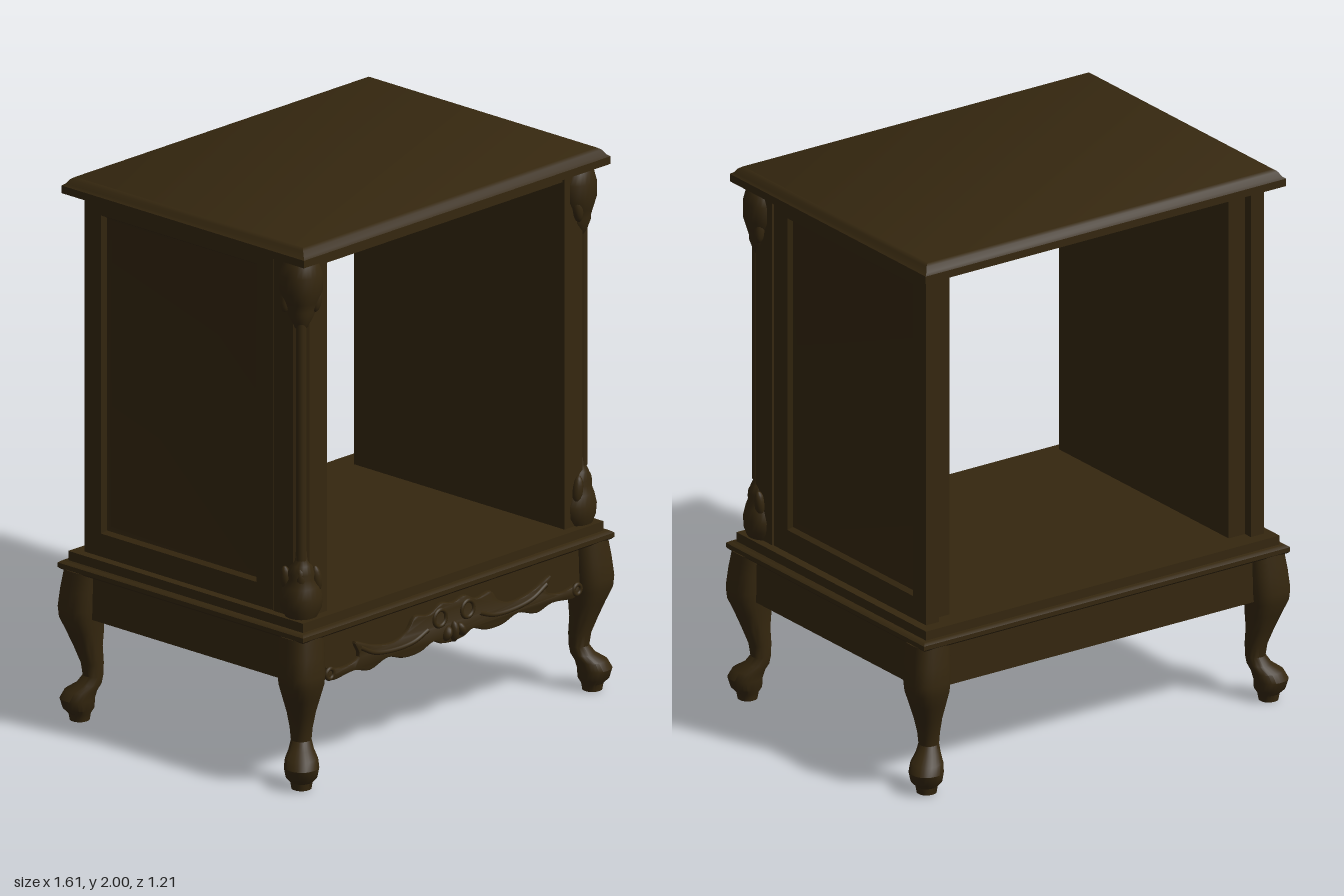
import * as THREE from 'three';
import { toCreasedNormals } from 'three/addons/utils/BufferGeometryUtils.js';

// Skin a list of equal-length rings of [x, y, z] points and cap both ends.
function loft(rings, flip = false) {
  const n = rings[0].length, last = (rings.length - 1) * n, index = [];
  const tri = (a, b, c) => (flip ? index.push(a, c, b) : index.push(a, b, c));
  for (let i = 0; i < rings.length - 1; i++) {
    for (let j = 0; j < n; j++) {
      const a = i * n + j, b = i * n + (j + 1) % n;
      tri(a, b, b + n);
      tri(a, b + n, a + n);
    }
  }
  for (let j = 1; j < n - 1; j++) {
    tri(0, j + 1, j);
    tri(last, last + j, last + j + 1);
  }
  const g = new THREE.BufferGeometry();
  g.setAttribute('position', new THREE.Float32BufferAttribute(rings.flat(2), 3));
  g.setIndex(index);
  return toCreasedNormals(g, 0.6);
}

// Horizontal rectangle ring, used for mouldings
const slab = (y, x, z) => [[-x, y, z], [x, y, z], [x, y, -z], [-x, y, -z]];

// Rounded-square ring around (cx, cz)
function roundedRing(y, cx, cz, r, power = 0.8, n = 24) {
  const p = (v) => Math.sign(v) * Math.pow(Math.abs(v), power) * r;
  return Array.from({ length: n }, (_, i) => {
    const t = (i / n) * Math.PI * 2;
    return [cx + p(Math.sin(t)), y, cz + p(Math.cos(t))];
  });
}

// Symmetric shape from half outlines running outward from x = 0
function mirroredShape(top, bottom) {
  const v = (s) => ([x, y]) => new THREE.Vector2(s * x, y);
  const curve = (half) => new THREE.SplineCurve(
    [...half.slice(1).reverse().map(v(-1)), ...half.map(v(1))]).getPoints(72);
  return new THREE.Shape([...curve(bottom), ...curve(top).reverse()]);
}

export function createModel() {
  const model = new THREE.Group();
  const wood = new THREE.MeshStandardMaterial({ color: 0x35270f });
  wood.name = 'dark walnut';

  function add(name, geometry, x = 0, y = 0, z = 0) {
    const mesh = new THREE.Mesh(geometry, wood);
    mesh.name = name;
    mesh.position.set(x, y, z);
    model.add(mesh);
    return mesh;
  }
  const box = (name, x0, x1, y0, y1, z0, z1) => add(name,
    new THREE.BoxGeometry(Math.abs(x1 - x0), y1 - y0, z1 - z0), (x0 + x1) / 2, (y0 + y1) / 2, (z0 + z1) / 2);

  // Moulded top and stepped base
  add('top', loft([slab(1.94, 0.775, 0.585), slab(1.968, 0.775, 0.585), slab(1.975, 0.765, 0.575),
    slab(1.992, 0.755, 0.562), slab(2, 0.742, 0.55)]));
  add('baseMoulding', loft([slab(0.555, 0.78, 0.585), slab(0.562, 0.787, 0.592), slab(0.578, 0.787, 0.592),
    slab(0.586, 0.775, 0.58)]));
  add('baseShelf', loft([slab(0.584, 0.76, 0.566), slab(0.62, 0.76, 0.566)]));
  box('frontRail', -0.61, 0.61, 1.9, 1.94, 0.47, 0.52);

  // Side walls with a bevelled recessed panel, and chamfered front posts
  for (const s of [1, -1]) {
    const rect = (x, y0, y1, z0, z1) => [[s * x, y0, z0], [s * x, y1, z0], [s * x, y1, z1], [s * x, y0, z1]];
    add('sidePanel', loft([
      rect(0.67, 0.62, 1.94, -0.52, 0.39), rect(0.726, 0.62, 1.94, -0.52, 0.39),
      rect(0.726, 0.705, 1.88, -0.44, 0.31), rect(0.708, 0.715, 1.87, -0.43, 0.3),
      rect(0.703, 0.735, 1.85, -0.412, 0.282),
    ], s < 0));
    box('innerWall', s * 0.6, s * 0.675, 0.62, 1.94, -0.485, 0.4);
    const post = (y) => [[0.6, 0.395], [0.6, 0.53], [0.69, 0.53], [0.73, 0.49], [0.73, 0.395]]
      .map(([x, z]) => [s * x, y, z]);
    add('frontPost', loft([post(0.62), post(1.94)], s < 0));
    add('postBead', new THREE.CylinderGeometry(0.018, 0.018, 0.9, 16), s * 0.711, 1.28, 0.511);
  }

  // Carved leaf brackets at both ends of each front post
  const upper = [[1.94, 0.045], [1.92, 0.06], [1.88, 0.074], [1.82, 0.074], [1.78, 0.058], [1.75, 0.046],
    [1.735, 0.046], [1.71, 0.034], [1.69, 0.026], [1.67, 0.008]];
  const lower = [[0.62, 0.055], [0.65, 0.07], [0.69, 0.074], [0.73, 0.062], [0.76, 0.047], [0.78, 0.05],
    [0.81, 0.036], [0.83, 0.024], [0.86, 0.022], [0.885, 0.006]];
  for (const s of [1, -1]) {
    for (const [name, profile] of [['upperBracket', [...upper].reverse()], ['lowerBracket', lower]]) {
      // the carving leans slightly toward the corner as it narrows
      add(name, loft(profile.map(([y, r]) => {
        const c = 0.692 + (0.074 - r) * 0.2;
        return roundedRing(y, s * c, c - 0.2, r, 0.9);
      })));
    }
    for (const [y, tilt] of [[1.79, 1], [0.755, -1]]) {
      for (const [x, z] of [[0.66, 0.535], [0.735, 0.46], [0.72, 0.52]]) {
        const leaf = add('bracketLeaf', new THREE.SphereGeometry(1, 14, 10), s * x, y, z);
        leaf.scale.set(0.02, 0.05, 0.02);
        leaf.rotation.z = s * tilt * 0.15;
      }
    }
  }

  // Cabriole legs: [height, diagonal centre, radius]
  const legProfile = [[0, 0.735, 0.034], [0.025, 0.735, 0.038], [0.045, 0.738, 0.054], [0.08, 0.741, 0.06],
    [0.11, 0.732, 0.056], [0.135, 0.712, 0.043], [0.165, 0.702, 0.035], [0.21, 0.704, 0.039],
    [0.27, 0.714, 0.049], [0.33, 0.722, 0.061], [0.38, 0.73, 0.073], [0.42, 0.73, 0.077],
    [0.49, 0.725, 0.075], [0.56, 0.718, 0.072]];
  for (const sx of [1, -1]) {
    for (const sz of [1, -1]) {
      add(sz > 0 ? 'frontLeg' : 'backLeg', loft(legProfile.map(([y, c, r]) =>
        roundedRing(y, sx * c, sz * (c - 0.2), r, y > 0.3 ? 0.75 : 0.9))));
    }
    box('sideApron', sx * 0.72, sx * 0.755, 0.39, 0.556, -0.5, 0.5);
  }
  box('backApron', -0.69, 0.69, 0.39, 0.556, -0.555, -0.52);

  // Scalloped front apron with raised scrollwork
  const scallop = [[0, 0.365], [0.06, 0.372], [0.1, 0.388], [0.17, 0.366], [0.25, 0.366], [0.33, 0.388],
    [0.42, 0.364], [0.5, 0.382], [0.6, 0.372], [0.68, 0.4]];
  add('frontApron', new THREE.ExtrudeGeometry(
    mirroredShape([[0, 0.556], [0.68, 0.556]], scallop), { depth: 0.035, bevelEnabled: false }), 0, 0, 0.515);
  const crest = [[0, 0.51], [0.06, 0.522], [0.12, 0.495], [0.19, 0.505], [0.23, 0.462], [0.3, 0.437],
    [0.4, 0.452], [0.495, 0.487], [0.475, 0.43], [0.55, 0.408], [0.635, 0.425]];
  add('apronCarving', toCreasedNormals(new THREE.ExtrudeGeometry(
    mirroredShape(crest, [...scallop.slice(0, -1), [0.645, 0.385]]),
    { depth: 0.006, bevelThickness: 0.008, bevelSize: 0.006, bevelOffset: -0.006, bevelSegments: 2 }), 0.6), 0, 0, 0.554);
  for (const s of [1, -1]) {
    add('carvedRoundel', new THREE.TorusGeometry(0.03, 0.008, 8, 24), s * 0.07, 0.47, 0.568);
    add('carvedScroll', new THREE.TorusGeometry(0.018, 0.008, 8, 20), s * 0.625, 0.402, 0.566);
    const sweep = new THREE.CatmullRomCurve3([[0.13, 0.44], [0.2, 0.415], [0.3, 0.41], [0.4, 0.425], [0.47, 0.46]]
      .map(([x, y]) => new THREE.Vector3(s * x, y, 0.566)));
    add('carvedStem', new THREE.TubeGeometry(sweep, 32, 0.009, 8));
  }
  for (const [x, h] of [[0, 0.04], [0.035, 0.028], [-0.035, 0.028]]) {
    const petal = add('centrePetal', new THREE.SphereGeometry(1, 16, 10), x, 0.405, 0.566);
    petal.scale.set(0.018, h, 0.024);
    petal.rotation.z = x * 12;
  }
  return model;
}
